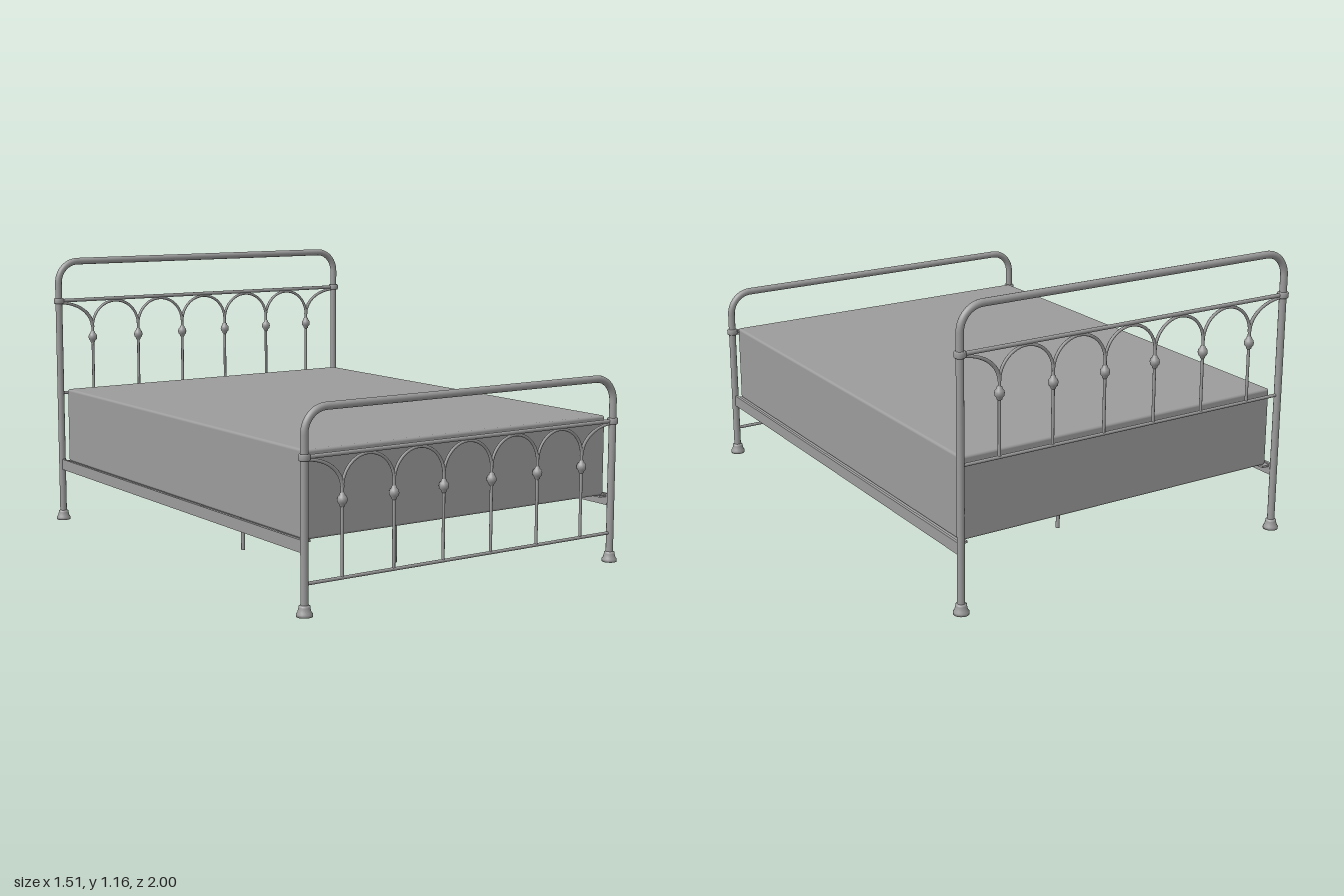
import * as THREE from 'three';
import { RoundedBoxGeometry } from 'three/addons/geometries/RoundedBoxGeometry.js';

const POST_X = 0.727, POST_Z = 0.97, POST_R = 0.0145, CORNER = 0.092;
const SPINDLES = 6, GAP = 0.2266;

export function createModel() {
  const metal = new THREE.MeshStandardMaterial({ color: 0x9c9c9c });
  metal.name = 'grey';
  const bed = new THREE.Group();
  bed.name = 'bed';

  const add = (parent, name, geometry, x, y, z) => {
    const mesh = new THREE.Mesh(geometry, metal);
    mesh.name = name;
    mesh.position.set(x, y, z);
    parent.add(mesh);
    return mesh;
  };
  // vertical rod from y0 to y1
  const rod = (parent, name, r, x, y0, y1, z, sides = 12) =>
    add(parent, name, new THREE.CylinderGeometry(r, r, y1 - y0, sides), x, (y0 + y1) / 2, z);
  // horizontal rod across the bed
  const bar = (parent, name, r, half, y) => {
    const mesh = add(parent, name, new THREE.CylinderGeometry(r, r, half * 2, 16), 0, y, 0);
    mesh.rotation.z = Math.PI / 2;
  };

  const footProfile = [[0, 0], [0.03, 0], [0.03, 0.01], [0.025, 0.016], [0.021, 0.032], [0.021, 0.038], [0.0145, 0.041]]
    .map(([r, y]) => new THREE.Vector2(r, y));
  const collarProfile = [[0.0145, -0.012], [0.019, -0.012], [0.022, -0.008], [0.022, 0.008], [0.019, 0.012], [0.0145, 0.012]]
    .map(([r, y]) => new THREE.Vector2(r, y));
  const knobProfile = [[0.006, -0.026], [0.01, -0.023], [0.01, -0.018], [0.017, -0.01], [0.019, 0], [0.017, 0.01], [0.01, 0.018], [0.01, 0.023], [0.006, 0.026]]
    .map(([r, y]) => new THREE.Vector2(r, y));

  // bent tube frame with arched spindle work
  function endFrame(name, z, top, railY, lowerY) {
    const frame = new THREE.Group();
    frame.name = name;
    frame.position.z = z;
    bed.add(frame);
    const bend = top - CORNER;
    const spring = railY - 0.123;

    for (const s of [-1, 1]) {
      rod(frame, 'post', POST_R, s * POST_X, 0.02, bend, 0, 16);
      add(frame, 'foot', new THREE.LatheGeometry(footProfile, 20), s * POST_X, 0, 0);
      add(frame, 'collar', new THREE.LatheGeometry(collarProfile, 20), s * POST_X, railY, 0);
      const corner = add(frame, 'corner', new THREE.TorusGeometry(CORNER, POST_R, 16, 14, Math.PI / 2),
        s * (POST_X - CORNER), bend, 0);
      if (s < 0) corner.rotation.y = Math.PI;
      // half arch between the outer spindle and the post
      const span = POST_X - GAP * 2.5;
      const half = add(frame, 'halfArch', new THREE.TorusGeometry(GAP / 2, 0.006, 8, 14, Math.PI / 2),
        s * POST_X, spring, 0);
      half.scale.x = span / (GAP / 2);
      if (s > 0) half.rotation.y = Math.PI;
    }
    bar(frame, 'topTube', POST_R, POST_X - CORNER, top);
    bar(frame, 'upperRail', 0.008, POST_X, railY);
    bar(frame, 'lowerRail', 0.0065, POST_X, lowerY);

    for (let i = 0; i < SPINDLES; i++) {
      const x = (i - (SPINDLES - 1) / 2) * GAP;
      rod(frame, 'spindle', 0.006, x, lowerY, spring, 0);
      add(frame, 'knob', new THREE.LatheGeometry(knobProfile, 16), x, railY - 0.167, 0);
      if (i < SPINDLES - 1) {
        add(frame, 'arch', new THREE.TorusGeometry(GAP / 2, 0.006, 8, 24, Math.PI), x + GAP / 2, spring, 0);
      }
    }
  }
  endFrame('headboard', -POST_Z, 1.141, 0.971, 0.565);
  endFrame('footboard', POST_Z, 0.737, 0.565, 0.116);

  // mattress
  add(bed, 'mattress', new RoundedBoxGeometry(1.42, 0.32, 1.886, 3, 0.01), 0, 0.425, 0.003);

  // angle side rails
  for (const s of [-1, 1]) {
    add(bed, 'sideRail', new THREE.BoxGeometry(0.012, 0.046, POST_Z * 2), s * 0.727, 0.248, 0);
    add(bed, 'railFlange', new THREE.BoxGeometry(0.04, 0.008, POST_Z * 2 - 0.04), s * 0.707, 0.262, 0);
  }

  // cross slats and their support legs
  const legs = { '-0.52': [0], '0': [-0.385, 0.385], '0.52': [0] };
  for (const [key, xs] of Object.entries(legs)) {
    const z = Number(key);
    add(bed, 'slat', new THREE.BoxGeometry(1.43, 0.022, 0.034), 0, 0.251, z);
    for (const x of xs) {
      add(bed, 'legPlate', new THREE.BoxGeometry(0.06, 0.006, 0.03), x, 0.237, z);
      rod(bed, 'supportLeg', 0.008, x, 0.004, 0.236, z);
    }
  }
  return bed;
}
